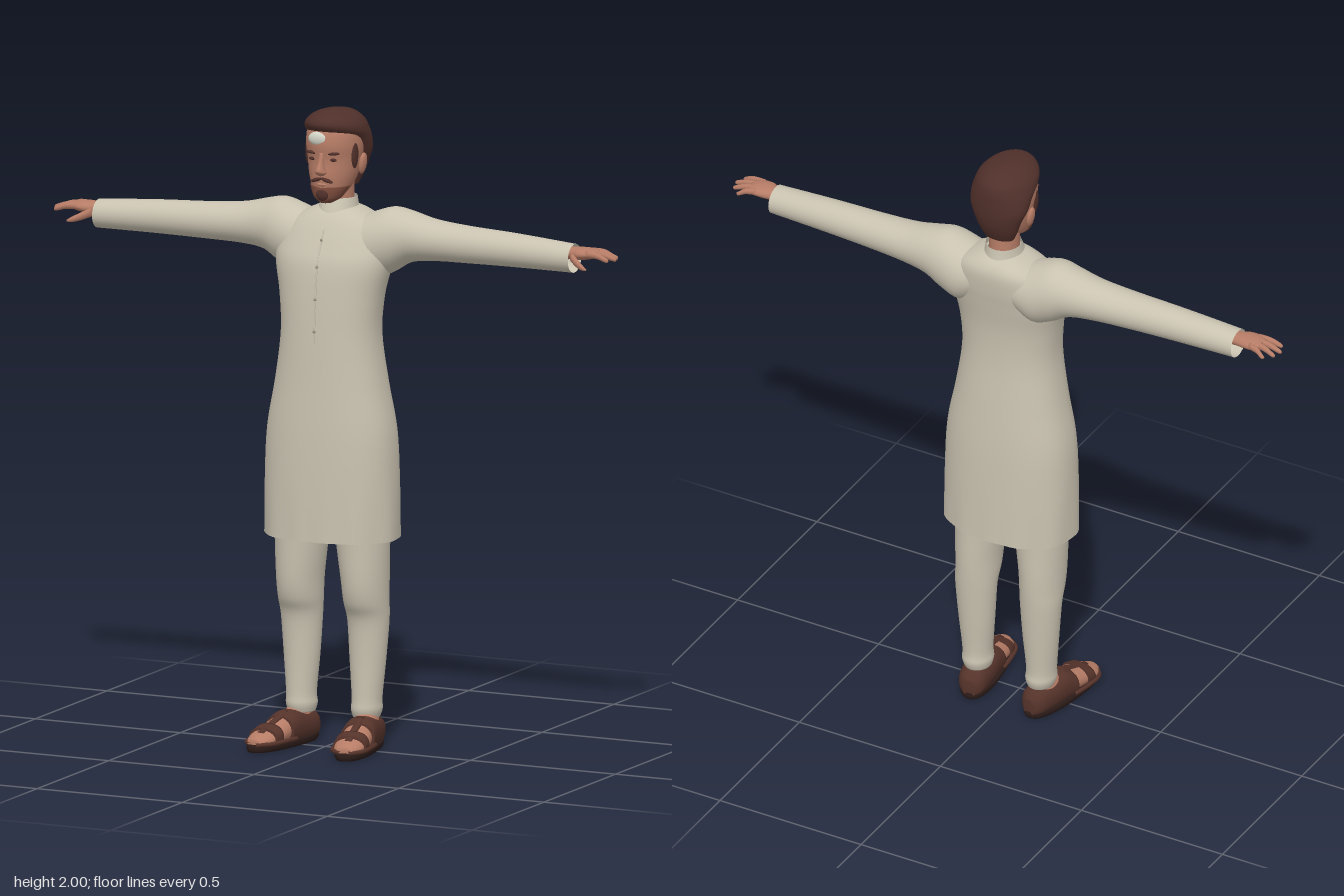
import * as THREE from 'three';

const mat = (name, color, side = THREE.FrontSide) =>
  Object.assign(new THREE.MeshStandardMaterial({ color, side }), { name });

// Catmull-Rom blend of the section rows
function sample(rows, t) {
  const i = Math.min(Math.floor(t), rows.length - 2), f = t - i;
  const at = k => rows[Math.max(0, Math.min(rows.length - 1, k))];
  const [p, q, r, s] = [at(i - 1), at(i), at(i + 1), at(i + 2)];
  return q.map((v, k) => v + 0.5 * f * (r[k] - p[k] +
    f * (2 * p[k] - 5 * v + 4 * r[k] - s[k] + f * (3 * (v - r[k]) + s[k] - p[k]))));
}

// Oval sections along an axis; each row is [position, aMin, aMax, bMin, bMax]
function loft(axis, rows, { caps = true, n = 2, seg = 36, sub = 5 } = {}) {
  const pos = [], idx = [], steps = (rows.length - 1) * sub;
  const put = (t, a, b) => pos.push(...(axis === 'x' ? [t, a, b] : axis === 'y' ? [a, t, b] : [a, b, t]));
  const tri = (a, b, c) => (axis === 'y' ? idx.push(a, b, c) : idx.push(a, c, b));
  const bend = v => Math.sign(v) * Math.abs(v) ** (2 / n);
  for (let i = 0; i <= steps; i++) {
    const [t, a0, a1, b0, b1] = sample(rows, i / sub);
    for (let j = 0; j < seg; j++) {
      const w = j / seg * Math.PI * 2;
      put(t, (a0 + a1) / 2 + (a1 - a0) / 2 * bend(Math.cos(w)), (b0 + b1) / 2 + (b1 - b0) / 2 * bend(Math.sin(w)));
    }
  }
  for (let i = 0; i < steps; i++) for (let j = 0; j < seg; j++) {
    const a = i * seg + j, b = i * seg + (j + 1) % seg;
    tri(a, a + seg, b);
    tri(b, a + seg, b + seg);
  }
  if (caps) for (const end of [0, 1]) {
    const [t, a0, a1, b0, b1] = rows[end ? rows.length - 1 : 0];
    const c = pos.length / 3, base = end * steps * seg;
    put(t, (a0 + a1) / 2, (b0 + b1) / 2);
    for (let j = 0; j < seg; j++) {
      const a = base + j, b = base + (j + 1) % seg;
      end ? tri(a, c, b) : tri(a, b, c);
    }
  }
  const g = new THREE.BufferGeometry();
  g.setAttribute('position', new THREE.Float32BufferAttribute(pos, 3));
  g.setIndex(idx);
  g.computeVertexNormals();
  return g;
}

// Rows symmetric about x = 0: [y, halfWidth, back, front]
const even = rows => rows.map(([y, r, b, f]) => [y, -r, r, b, f]);

const blob = (x, y, z, rx, ry, rz, turn = 0) =>
  new THREE.SphereGeometry(1, 18, 12).scale(rx, ry, rz).rotateZ(turn).translate(x, y, z);

const tube = (points, r) =>
  new THREE.TubeGeometry(new THREE.CatmullRomCurve3(points.map(p => new THREE.Vector3(...p))), 16, r, 8);

function mirrored(geo) {
  const g = geo.clone().scale(-1, 1, 1), a = g.index.array;
  for (let i = 0; i < a.length; i += 3) [a[i], a[i + 1]] = [a[i + 1], a[i]];
  g.computeVertexNormals();
  return g;
}

export function createModel() {
  const model = new THREE.Group();
  const cloth = mat('cream cloth', 0xc9c2b0, THREE.DoubleSide);
  const trim = mat('shaded trim', 0x9c9584);
  const skin = mat('skin', 0xb67c66);
  const stubble = mat('stubble', 0x7a4a3b);
  const hairMat = mat('dark brown hair', 0x50302a);
  const leather = mat('brown leather', 0x55332a);
  const soleMat = mat('dark sole', 0x2c1c19);
  const pale = mat('pale mark', 0xd2d3c6);
  const add = (name, g, m) => {
    const mesh = new THREE.Mesh(g, m);
    mesh.name = name;
    model.add(mesh);
  };
  const pair = (name, g, m) => {
    add('left' + name, g, m);
    add('right' + name, mirrored(g), m);
  };

  // Long tunic with a gently rippled open hem
  const tunic = loft('y', even([
    [0.66, 0.217, -0.2, 0.1], [0.84, 0.216, -0.196, 0.098], [1.0, 0.208, -0.19, 0.093],
    [1.15, 0.18, -0.178, 0.085], [1.3, 0.16, -0.165, 0.078], [1.42, 0.168, -0.167, 0.07],
    [1.52, 0.188, -0.182, 0.058], [1.58, 0.185, -0.192, 0.035], [1.64, 0.155, -0.195, 0.005],
    [1.675, 0.1, -0.18, -0.02], [1.695, 0.05, -0.15, -0.05]]), { caps: false, n: 2.3, seg: 64 });
  const p = tunic.attributes.position;
  for (let i = 0; i < p.count; i++) {
    const fade = Math.max(0, (0.86 - p.getY(i)) / 0.2);
    const k = 1 + 0.012 * fade * Math.sin(11 * Math.atan2(p.getZ(i) + 0.05, p.getX(i)));
    p.setX(i, p.getX(i) * k);
    p.setZ(i, (p.getZ(i) + 0.05) * k - 0.05);
  }
  tunic.computeVertexNormals();
  add('tunic', tunic, cloth);
  pair('Sleeve', loft('x', [
    [0.07, 1.51, 1.66, -0.185, -0.01], [0.13, 1.475, 1.683, -0.194, 0.0], [0.19, 1.495, 1.7, -0.19, -0.006],
    [0.25, 1.53, 1.69, -0.18, -0.02], [0.33, 1.542, 1.672, -0.166, -0.027], [0.45, 1.546, 1.662, -0.152, -0.03],
    [0.62, 1.549, 1.654, -0.14, -0.031], [0.82, 1.55, 1.64, -0.127, -0.031]], { caps: false }), cloth);
  add('collar', loft('y', even([[1.65, 0.075, -0.175, -0.01], [1.685, 0.062, -0.165, -0.025],
    [1.72, 0.055, -0.158, -0.042]]), { caps: false }), cloth);
  add('placket', tube([[0, 1.63, 0.012], [0, 1.58, 0.035], [0, 1.52, 0.058], [0, 1.42, 0.07], [0, 1.28, 0.079]], 0.0025), cloth);
  for (const [y, z] of [[1.6, 0.029], [1.52, 0.06], [1.42, 0.072], [1.32, 0.079]])
    add('button', blob(0, y, z, 0.005, 0.005, 0.003), trim);

  // Trousers
  pair('TrouserLeg', loft('y', [
    [0.095, 0.07, 0.152, -0.11, -0.015], [0.12, 0.064, 0.16, -0.118, -0.007], [0.16, 0.066, 0.16, -0.115, -0.01],
    [0.28, 0.056, 0.171, -0.125, -0.01], [0.4, 0.049, 0.18, -0.135, -0.002], [0.46, 0.044, 0.182, -0.139, 0.024],
    [0.53, 0.039, 0.184, -0.141, 0.037], [0.66, 0.022, 0.188, -0.141, 0.042], [0.85, 0.005, 0.19, -0.15, 0.05]]), cloth);

  // Hands: palm, fingers and thumb
  pair('Palm', loft('x', [
    [0.7, 1.58, 1.63, -0.105, -0.055], [0.81, 1.592, 1.632, -0.105, -0.05], [0.85, 1.594, 1.634, -0.112, -0.036],
    [0.885, 1.6, 1.632, -0.116, -0.038], [0.905, 1.606, 1.626, -0.108, -0.044]]), skin);
  const fingers = [[-0.105, -0.122, 0.935], [-0.086, -0.098, 0.96], [-0.067, -0.07, 0.968], [-0.048, -0.04, 0.955]];
  for (const [z0, z1, x] of fingers)
    pair('Finger', loft('x', [[0.875, 1.607, 1.629, z0 - 0.01, z0 + 0.01],
      [(0.875 + x) / 2, 1.606, 1.626, (z0 + z1) / 2 - 0.009, (z0 + z1) / 2 + 0.009],
      [x - 0.008, 1.598, 1.613, z1 - 0.007, z1 + 0.007],
      [x, 1.601, 1.607, z1 - 0.002, z1 + 0.002]], { seg: 12, sub: 3 }), skin);
  pair('Thumb', loft('x', [[0.825, 1.59, 1.62, -0.065, -0.035], [0.85, 1.58, 1.606, -0.041, -0.017],
    [0.878, 1.573, 1.591, -0.019, -0.003], [0.895, 1.574, 1.58, -0.009, -0.004]], { seg: 12, sub: 3 }), skin);

  // Sandals, turned slightly outward
  const foot = (name, g, m) => pair(name, g.rotateY(0.16).translate(0.127, 0, 0), m);
  foot('Sole', loft('y', [[0, -0.05, 0.05, -0.132, 0.195], [0.01, -0.056, 0.056, -0.137, 0.2],
    [0.024, -0.055, 0.055, -0.135, 0.198]], { n: 2.4, sub: 2 }), soleMat);
  foot('Foot', loft('z', [[-0.115, -0.028, 0.028, 0.02, 0.08], [-0.06, -0.038, 0.038, 0.01, 0.125],
    [0.0, -0.042, 0.042, 0.01, 0.105], [0.08, -0.049, 0.049, 0.008, 0.08],
    [0.15, -0.045, 0.045, 0.008, 0.056], [0.188, -0.022, 0.022, 0.012, 0.04]]), skin);
  foot('HeelCup', loft('z', [[-0.134, -0.02, 0.02, 0.01, 0.065], [-0.11, -0.042, 0.042, 0.004, 0.092],
    [-0.05, -0.05, 0.05, 0.002, 0.1], [0.01, -0.053, 0.053, 0.0, 0.107],
    [0.05, -0.055, 0.055, 0.0, 0.092]], { n: 2.3 }), leather);
  foot('ToeStrap', loft('z', [[0.1, -0.054, 0.054, 0.002, 0.079], [0.135, -0.053, 0.053, 0.002, 0.067]],
    { n: 2.3 }), leather);
  foot('CentreStrap', loft('z', [[0.02, -0.014, 0.014, 0.08, 0.109], [0.08, -0.013, 0.013, 0.06, 0.086],
    [0.15, -0.012, 0.012, 0.04, 0.061]], { n: 3, seg: 16 }), leather);
  for (const s of [-1, 1])
    foot('SideStrap', tube([[s * 0.052, 0.025, 0.03], [s * 0.056, 0.027, 0.1], [s * 0.048, 0.026, 0.155],
      [s * 0.012, 0.024, 0.192]], 0.007), leather);

  // Neck and head
  add('neck', loft('y', even([[1.65, 0.052, -0.152, -0.04], [1.71, 0.047, -0.147, -0.045],
    [1.79, 0.048, -0.145, -0.04]])), skin);
  add('head', loft('y', even([[1.718, 0.022, -0.035, 0.014], [1.73, 0.04, -0.07, 0.022], [1.76, 0.06, -0.12, 0.026],
    [1.8, 0.074, -0.15, 0.029], [1.85, 0.083, -0.17, 0.027], [1.9, 0.088, -0.175, 0.033],
    [1.95, 0.08, -0.165, 0.02], [1.985, 0.04, -0.12, -0.02]])), skin);
  add('hair', loft('y', even([[1.755, 0.05, -0.155, -0.1], [1.79, 0.066, -0.172, -0.095], [1.83, 0.08, -0.184, -0.09],
    [1.87, 0.096, -0.188, -0.07], [1.91, 0.1, -0.188, -0.03], [1.94, 0.098, -0.186, 0.024],
    [1.965, 0.087, -0.176, 0.038], [1.988, 0.058, -0.145, 0.015], [2.0, 0.012, -0.09, -0.05]])), hairMat);
  pair('Sideburn', blob(0.079, 1.865, -0.045, 0.009, 0.045, 0.018), hairMat);
  pair('Ear', blob(0.087, 1.83, -0.085, 0.011, 0.034, 0.019, -0.15), skin);

  // Face
  add('nose', loft('y', even([[1.803, 0.008, 0.01, 0.04], [1.812, 0.018, 0.01, 0.052], [1.822, 0.014, 0.01, 0.057],
    [1.845, 0.009, 0.01, 0.044], [1.875, 0.009, 0.01, 0.032]]), { seg: 16, sub: 4 }), skin);
  pair('Brow', blob(0.036, 1.873, 0.02, 0.023, 0.005, 0.008, 0.1), hairMat);
  pair('Eye', blob(0.035, 1.853, 0.018, 0.013, 0.0055, 0.005), hairMat);
  add('foreheadMark', blob(-0.014, 1.917, 0.023, 0.033, 0.022, 0.013), pale);
  pair('Moustache', blob(0.017, 1.789, 0.026, 0.022, 0.006, 0.009, -0.3), hairMat);
  add('lips', blob(0, 1.774, 0.026, 0.017, 0.005, 0.006), skin);
  add('beard', loft('y', even([[1.714, 0.02, -0.035, 0.016], [1.728, 0.042, -0.065, 0.026],
    [1.748, 0.055, -0.085, 0.028], [1.766, 0.064, -0.11, 0.026]])), stubble);
  add('goatee', blob(0, 1.742, 0.02, 0.022, 0.02, 0.012), hairMat);
  return model;
}
